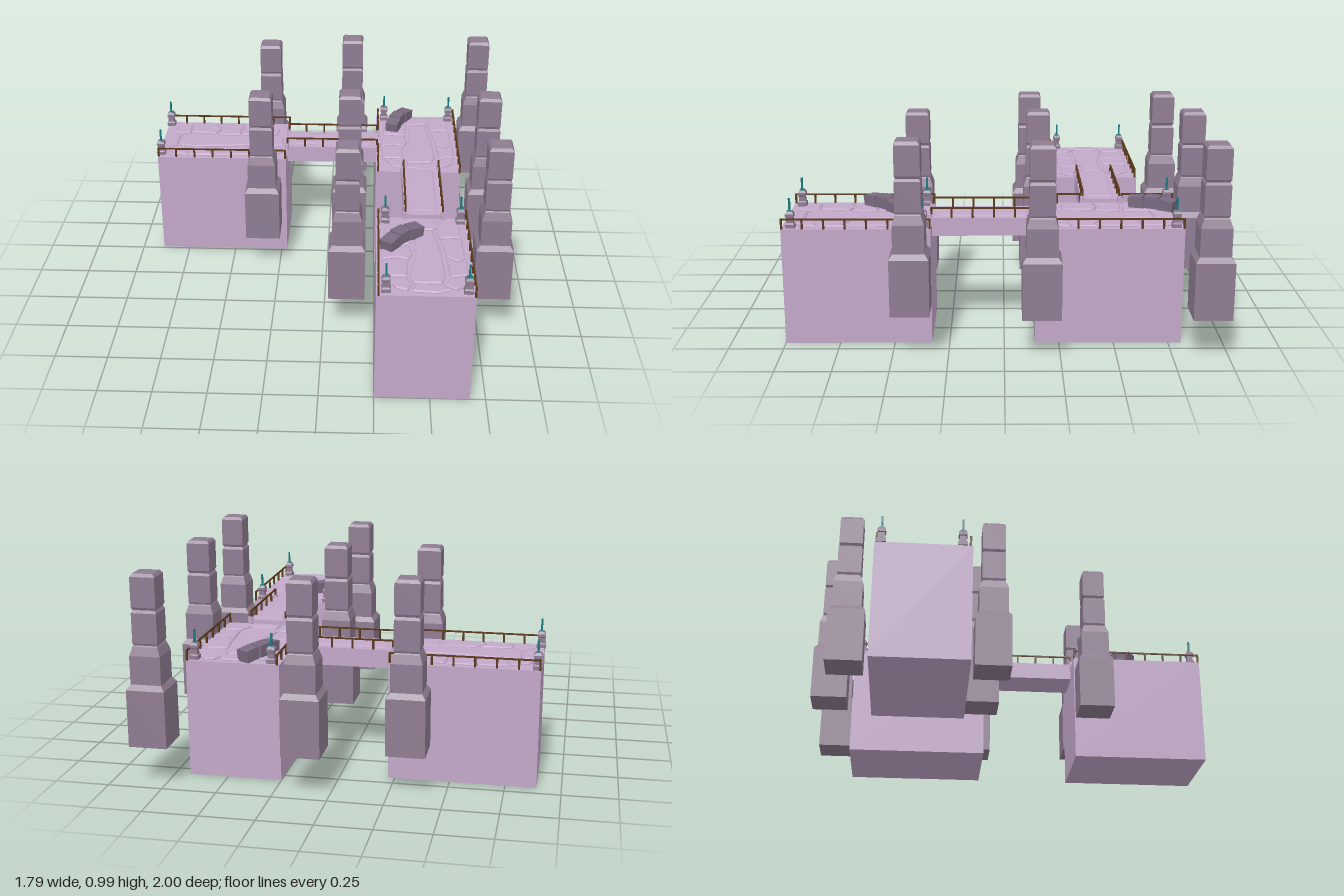
import * as THREE from 'three';

const mat = (color) => new THREE.MeshStandardMaterial({ color, flatShading: true });
const STONE = mat(0xc2a8c9);
const DARK = mat(0x8f7c92);
const RUBBLE = mat(0x7a6a80);
const WOOD = mat(0x5a3818);
const TEAL = mat(0x157a80);
const DECK = 0.545, BRIDGE = 0.565;

function add(parent, name, geo, material, x = 0, y = 0, z = 0) {
  const m = new THREE.Mesh(geo, material);
  m.name = name;
  m.position.set(x, y, z);
  parent.add(m);
  return m;
}

function box(parent, name, material, x0, x1, y0, y1, z0, z1) {
  return add(parent, name, new THREE.BoxGeometry(x1 - x0, y1 - y0, z1 - z0), material,
    (x0 + x1) / 2, (y0 + y1) / 2, (z0 + z1) / 2);
}

// Square tower from [half width, height] pairs, closed at both ends
function squareLathe(profile) {
  const pts = profile.map(([r, y]) => new THREE.Vector2(r * Math.SQRT2, y));
  pts.unshift(new THREE.Vector2(0, profile[0][1]));
  pts.push(new THREE.Vector2(0, profile[profile.length - 1][1]));
  return new THREE.LatheGeometry(pts, 4, Math.PI / 4);
}

// Low bevelled slab lying flat, outline given as [x, z] points
function slabGeometry(outline, height = 0.004, bevel = 0.008) {
  const shape = new THREE.Shape(outline.map(([x, z]) => new THREE.Vector2(x, -z)));
  const geo = new THREE.ExtrudeGeometry(shape, {
    depth: height, bevelEnabled: true, bevelThickness: 0.005,
    bevelSize: bevel, bevelOffset: -bevel, bevelSegments: 1,
  });
  return geo.rotateX(-Math.PI / 2);
}

// Posts with a handrail between two ground points
function railing(parent, x0, z0, x1, z1, y) {
  const g = new THREE.Group();
  g.name = 'railing';
  const len = Math.hypot(x1 - x0, z1 - z0);
  const n = Math.max(1, Math.round(len / 0.1));
  for (let i = 0; i <= n; i++) {
    const t = (i === 0 ? 0.04 : i === n ? n - 0.04 : i) / n;
    add(g, 'railPost', new THREE.BoxGeometry(0.009, 0.05, 0.009), WOOD,
      x0 + (x1 - x0) * t, y + 0.023, z0 + (z1 - z0) * t);
  }
  const rail = add(g, 'handrail', new THREE.BoxGeometry(len, 0.007, 0.007), WOOD,
    (x0 + x1) / 2, y + 0.045, (z0 + z1) / 2);
  rail.rotation.y = -Math.atan2(z1 - z0, x1 - x0);
  parent.add(g);
}

// Paving layout shared by the three platforms
const PAVING = [
  [[-0.04, -0.2], [0.05, -0.21], [0.08, -0.02], [0.09, 0.17], [0.07, 0.24], [-0.05, 0.24], [-0.07, 0.19], [-0.04, 0]],
  [[-0.06, -0.28], [-0.02, -0.31], [0.06, -0.31], [0.08, -0.25], [0.05, -0.22], [-0.05, -0.21]],
  [[0.09, -0.31], [0.14, -0.31], [0.18, -0.25], [0.17, -0.15], [0.08, -0.14], [0.06, -0.21]],
  [[0.08, -0.13], [0.18, -0.14], [0.185, 0.03], [0.15, 0.06], [0.1, 0.02]],
  [[0.1, 0.04], [0.15, 0.07], [0.19, 0.05], [0.19, 0.17], [0.11, 0.19]],
  [[0.11, 0.2], [0.19, 0.18], [0.18, 0.24], [0.13, 0.29], [0.08, 0.25]],
  [[-0.05, 0.25], [0.07, 0.25], [0.11, 0.29], [0.05, 0.315], [-0.06, 0.305]],
  [[-0.17, 0.2], [-0.08, 0.2], [-0.06, 0.25], [-0.08, 0.3], [-0.13, 0.28]],
  [[-0.19, 0.06], [-0.12, 0.04], [-0.07, 0.06], [-0.08, 0.19], [-0.18, 0.19]],
  [[-0.19, -0.08], [-0.06, -0.07], [-0.05, 0], [-0.07, 0.05], [-0.12, 0.03], [-0.19, 0.05]],
  [[-0.18, -0.23], [-0.13, -0.28], [-0.07, -0.27], [-0.05, -0.19], [-0.06, -0.08], [-0.18, -0.09]],
];

function platform(name, x, z, turn) {
  const g = new THREE.Group();
  g.name = name;
  box(g, 'platformBlock', STONE, -0.215, 0.215, 0, DECK, -0.335, 0.335);
  for (const outline of PAVING) add(g, 'pavingStone', slabGeometry(outline), STONE, 0, DECK, 0);
  g.position.set(x, 0, z);
  g.rotation.y = turn;
  return g;
}

// Stepped corner lamp with a thin rod
function lamp(x, z) {
  const g = new THREE.Group();
  g.name = 'cornerLamp';
  add(g, 'lampBase', squareLathe([[0.021, 0], [0.021, 0.018], [0.015, 0.024], [0.015, 0.048],
    [0.019, 0.052], [0.019, 0.065], [0.011, 0.078]]), DARK);
  add(g, 'lampRod', new THREE.BoxGeometry(0.009, 0.06, 0.009), TEAL, 0, 0.106, 0);
  add(g, 'lampCollar', new THREE.BoxGeometry(0.024, 0.006, 0.024), TEAL, 0, 0.075, 0);
  g.position.set(x, DECK, z);
  return g;
}

// Fallen column broken into three pieces between two points
function fallenColumn(x0, z0, x1, z1) {
  const g = new THREE.Group();
  g.name = 'fallenColumn';
  const len = Math.hypot(x1 - x0, z1 - z0);
  [-1, 0, 1].forEach((i) => {
    const piece = add(g, 'columnPiece', new THREE.BoxGeometry(len / 3 - 0.004, 0.055, 0.066), RUBBLE,
      i * len / 3, 0.032 + (i === 0 ? 0.006 : 0), i === 0 ? 0.006 : -0.003);
    piece.rotation.set(0, i * 0.12, i * -0.13);
  });
  g.position.set((x0 + x1) / 2, DECK, (z0 + z1) / 2);
  g.rotation.y = -Math.atan2(z1 - z0, x1 - x0);
  return g;
}

// Bridge running along local x
function bridge(name, x, z, turn) {
  const g = new THREE.Group();
  g.name = name;
  box(g, 'bridgeDeck', STONE, -0.24, 0.24, 0.48, BRIDGE, -0.095, 0.095);
  const frame = [[-0.21, -0.05], [-0.19, -0.065], [0.19, -0.065], [0.21, -0.05],
    [0.21, 0.05], [0.19, 0.065], [-0.19, 0.065], [-0.21, 0.05]];
  add(g, 'bridgePanel', slabGeometry(frame, 0.001, 0.014), STONE, 0, BRIDGE, 0);
  for (const s of [-1, 1]) {
    railing(g, -0.24, s * 0.088, 0.24, s * 0.088, BRIDGE);
    for (const e of [-1, 1]) {
      box(g, 'endPost', STONE, e * 0.24 - 0.011, e * 0.24 + 0.011, DECK - 0.02, 0.58,
        s * 0.09 - 0.011, s * 0.09 + 0.011);
    }
  }
  g.position.set(x, 0, z);
  g.rotation.y = turn;
  return g;
}

export function createModel() {
  const model = new THREE.Group();
  model.name = 'stonePlatforms';

  // Three platforms joined by two bridges
  model.add(platform('sidePlatform', -0.555, -0.475, -Math.PI / 2));
  model.add(platform('backPlatform', 0.465, -0.475, 0));
  model.add(platform('frontPlatform', 0.465, 0.665, 0));
  model.add(bridge('sideBridge', 0.018, -0.465, 0));
  model.add(bridge('frontBridge', 0.477, 0.095, Math.PI / 2));

  // Railings along the long platform edges
  for (const z of [-0.68, -0.27]) railing(model, -0.89, z, -0.22, z, DECK);
  for (const x of [0.26, 0.675]) railing(model, x, 0.33, x, 1, DECK);
  railing(model, 0.675, -0.81, 0.675, -0.14, DECK);
  railing(model, 0.26, -0.81, 0.26, -0.56, DECK);
  railing(model, 0.26, -0.37, 0.26, -0.14, DECK);

  // Corner lamps
  for (const [x, z] of [[-0.875, -0.66], [-0.875, -0.305]]) model.add(lamp(x, z));
  for (const x of [0.292, 0.647]) {
    for (const z of [-0.775, 0.365, 0.96]) model.add(lamp(x, z));
  }

  // Rubble
  model.add(fallenColumn(0.415, -0.8, 0.325, -0.595));
  model.add(fallenColumn(0.445, 0.475, 0.285, 0.64));

  // Floating square pillars
  const pillar = squareLathe([[0.087, 0.19], [0.087, 0.452], [0.07, 0.476], [0.07, 0.605],
    [0.057, 0.645], [0.053, 0.65], [0.057, 0.66], [0.057, 0.795], [0.05, 0.808],
    [0.056, 0.82], [0.056, 0.955], [0.046, 0.969]]);
  const spots = [[-0.33, -0.825], [-0.33, -0.135]];
  for (const x of [0.115, 0.805]) for (const z of [-0.915, -0.165, 0.415]) spots.push([x, z]);
  for (const [x, z] of spots) {
    add(model, 'pillar', pillar, DARK, x, x > 0.5 && z > 0 ? 0.017 : 0, z);
  }
  return model;
}
